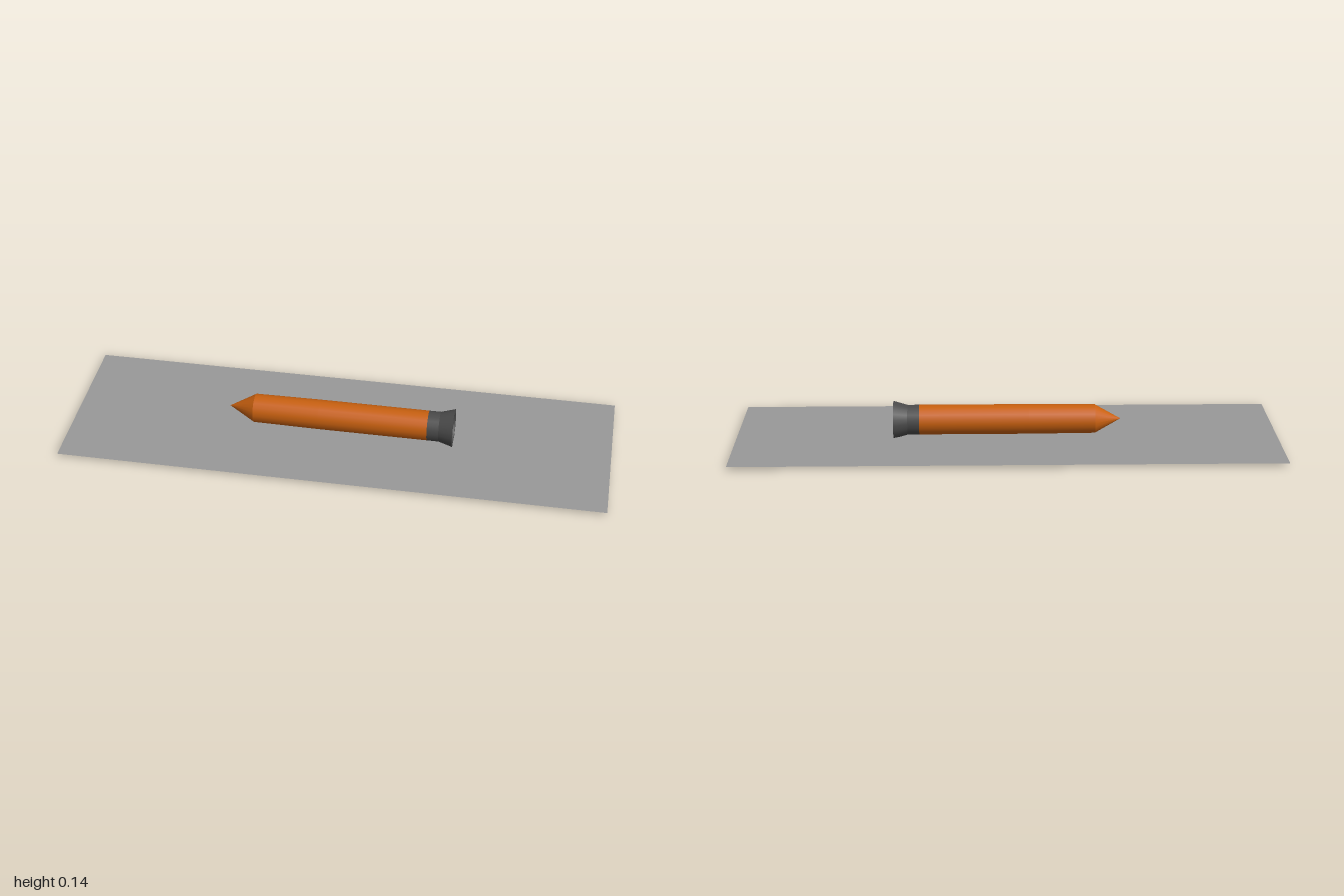
import * as THREE from 'three';

export function createModel() {
  const model = new THREE.Group();
  const orange = new THREE.MeshStandardMaterial({ name: 'orange', color: 0xc8600f });
  const charcoal = new THREE.MeshStandardMaterial({ name: 'charcoal', color: 0x4a4a4a });
  const grey = new THREE.MeshStandardMaterial({ name: 'grey', color: 0x999999, side: THREE.DoubleSide });

  const axisHeight = 0.07;
  const sides = 20;

  // Revolves [radius, x] points about the long axis; each section has its own smooth normals
  function turned(name, material, points, parent) {
    const geometry = new THREE.LatheGeometry(points.map(([r, x]) => new THREE.Vector2(r, x)), sides);
    geometry.rotateZ(-Math.PI / 2);
    const mesh = new THREE.Mesh(geometry, material);
    mesh.name = name;
    parent.add(mesh);
  }

  const rocket = new THREE.Group();
  rocket.name = 'rocket';
  rocket.position.y = axisHeight;
  model.add(rocket);

  // Pointed nose and long body
  turned('noseCone', orange, [[0, -0.42], [0.053, -0.325]], rocket);
  turned('body', orange, [[0.053, -0.325], [0.055, -0.08], [0.055, 0.325]], rocket);

  // Nozzle: collar, flare, flat rim and inner funnel
  const nozzle = new THREE.Group();
  nozzle.name = 'nozzle';
  rocket.add(nozzle);
  turned('collar', charcoal, [[0.055, 0.325], [0.055, 0.368]], nozzle);
  turned('flare', charcoal, [[0.055, 0.368], [0.07, 0.42]], nozzle);
  turned('rim', charcoal, [[0.07, 0.42], [0.055, 0.42]], nozzle);
  turned('funnel', charcoal, [[0.055, 0.42], [0.027, 0.35]], nozzle);
  turned('throat', orange, [[0.028, 0.35], [0, 0.35]], nozzle);

  // Flat ground sheet
  const sheet = new THREE.Mesh(new THREE.PlaneGeometry(2, 0.64), grey);
  sheet.name = 'baseSheet';
  sheet.rotation.x = -Math.PI / 2;
  sheet.position.y = 0.011;
  model.add(sheet);

  return model;
}
